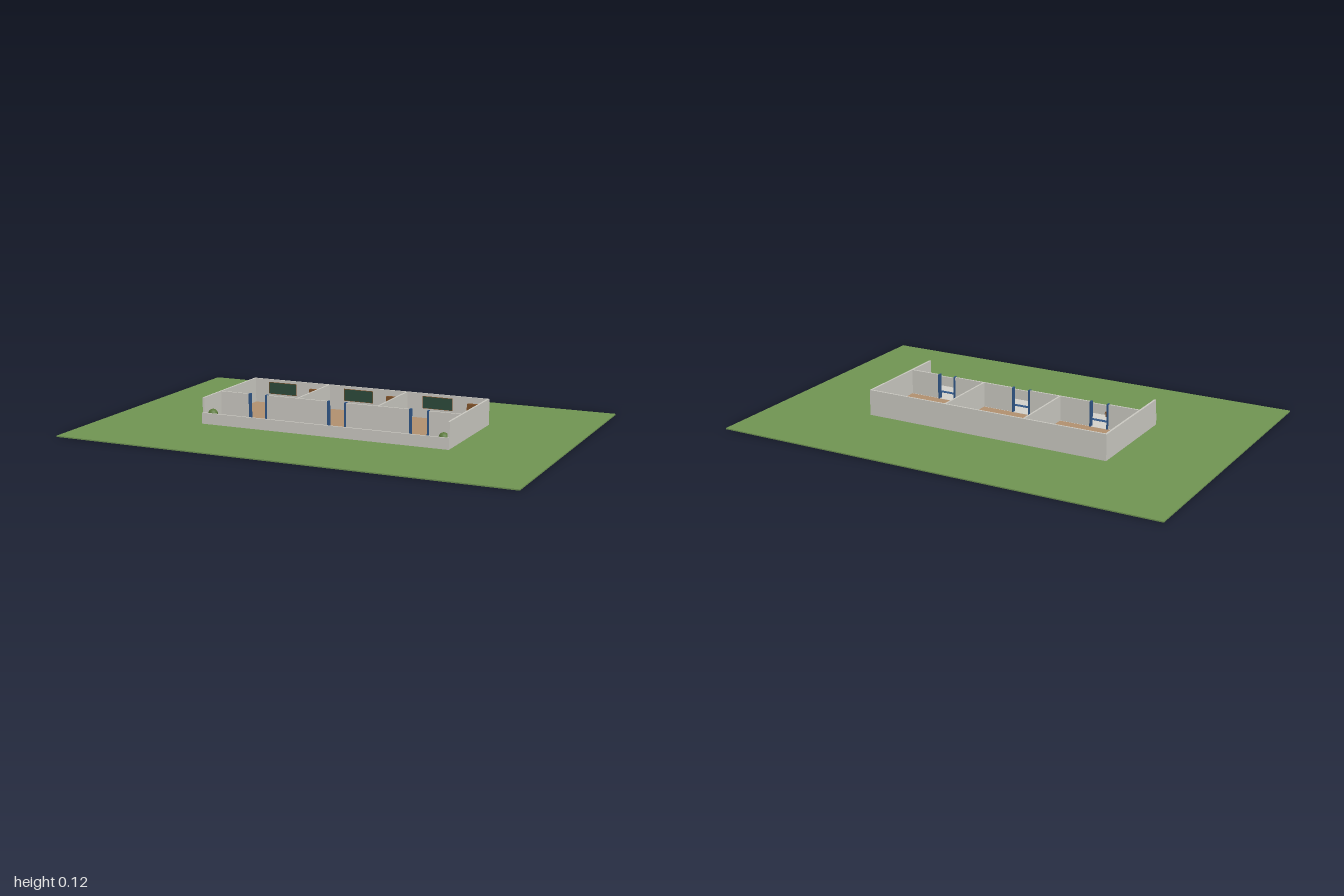
import * as THREE from 'three';

const mat = (name, color) => {
  const m = new THREE.MeshStandardMaterial({ color });
  m.name = name;
  return m;
};

export function createModel() {
  const grass = mat('grass', 0x6f9352);
  const wall = mat('wall plaster', 0xc9c7c0);
  const paving = mat('pale paving', 0xd2d0ca);
  const woodFloor = mat('wood floor', 0xb08f6e);
  const wood = mat('brown wood', 0x80522a);
  const blue = mat('blue paint', 0x2f5585);
  const board = mat('board green', 0x2c4a3a);
  const leaf = mat('leaf green', 0x5c7a3c);

  const model = new THREE.Group();
  model.name = 'schoolBuilding';

  // Box given by its limits on each axis
  const box = (parent, name, material, x0, x1, y0, y1, z0, z1) => {
    const mesh = new THREE.Mesh(new THREE.BoxGeometry(x1 - x0, y1 - y0, z1 - z0), material);
    mesh.position.set((x0 + x1) / 2, (y0 + y1) / 2, (z0 + z1) / 2);
    mesh.name = name;
    parent.add(mesh);
    return mesh;
  };

  const G = 0.005;      // ground level
  const F = 0.009;      // floor level
  const TOP = 0.118;    // wall top
  const PITCH = 0.373;  // room spacing

  // Ground and floors
  box(model, 'lawn', grass, -1, 1, 0, G, -0.682, 0.682);
  box(model, 'classroomFloor', woodFloor, -0.555, 0.555, G, F, -0.24, 0.073);
  box(model, 'corridorFloor', paving, -0.555, 0.555, G, F, 0.073, 0.231);
  box(model, 'corridorStripe', blue, -0.546, 0.546, F, F + 0.001, 0.147, 0.168);

  // Outer walls and room partitions
  box(model, 'backWall', wall, -0.562, 0.562, G, TOP, -0.248, -0.24);
  for (const s of [-1, 1]) {
    const side = box(model, 'sideWall', wall, -0.0045, 0.0045, G, TOP, -0.24, 0.231);
    side.position.x = s * 0.5575;
    const partition = box(model, 'partition', wall, -0.004, 0.004, F, TOP, -0.24, 0.075);
    partition.position.x = s * PITCH / 2;
  }
  box(model, 'frontParapet', wall, -0.562, 0.562, G, 0.053, 0.231, 0.239);

  // Corridor wall between the doorways
  const gaps = [-1, 0, 1].map((i) => i * PITCH);
  const edges = [-0.553, ...gaps.flatMap((x) => [x - 0.038, x + 0.038]), 0.553];
  for (let i = 0; i < edges.length; i += 2) {
    box(model, 'corridorWall', wall, edges[i], edges[i + 1], F, TOP, 0.075, 0.083);
  }

  // Four-legged furniture base
  const legs = (parent, w, d, z, h) => {
    for (const sx of [-1, 1]) for (const sz of [-1, 1]) {
      const x = sx * (w / 2 - 0.003), lz = z + sz * (d / 2 - 0.003);
      box(parent, 'leg', wood, x - 0.002, x + 0.002, F, h, lz - 0.002, lz + 0.002);
    }
  };

  gaps.forEach((x, i) => {
    const room = new THREE.Group();
    room.name = `classroom${i + 1}`;
    room.position.x = x;
    model.add(room);

    // Doorway
    for (const s of [-1, 1]) {
      box(room, 'doorPost', blue, s * 0.0395 - 0.0035, s * 0.0395 + 0.0035, F, 0.12, 0.07, 0.088);
    }
    box(room, 'threshold', paving, -0.036, 0.036, F, F + 0.001, 0.07, 0.084);

    // Board on the back wall
    box(room, 'boardFrame', wood, -0.112, 0.026, 0.052, 0.106, -0.24, -0.238);
    box(room, 'chalkboard', board, -0.11, 0.024, 0.054, 0.104, -0.238, -0.2365);

    // Bookcase
    box(room, 'bookcase', wood, 0.096, 0.17, F, 0.092, -0.24, -0.224);

    // Desk
    box(room, 'deskTop', wood, -0.036, 0.036, 0.039, 0.044, -0.135, -0.102);
    legs(room, 0.07, 0.031, -0.1185, 0.039);

    // Chair
    box(room, 'chairSeat', blue, -0.01, 0.01, 0.026, 0.029, -0.16, -0.138);
    box(room, 'chairBack', blue, -0.01, 0.01, 0.029, 0.052, -0.163, -0.159);
    legs(room, 0.02, 0.02, -0.15, 0.026);

    // Corridor bench
    box(room, 'benchSeat', wood, -0.036, 0.036, 0.026, 0.031, 0.205, 0.225);
    legs(room, 0.068, 0.018, 0.215, 0.026);
  });

  // Potted shrubs at the corridor ends
  for (const s of [-1, 1]) {
    const pot = new THREE.Mesh(new THREE.CylinderGeometry(0.015, 0.011, 0.025, 16), wood);
    pot.name = 'plantPot';
    pot.position.set(s * 0.527, F + 0.0125, 0.204);
    const shrub = new THREE.Mesh(new THREE.SphereGeometry(0.021, 16, 12), leaf);
    shrub.name = 'shrub';
    shrub.position.set(s * 0.527, 0.045, 0.204);
    model.add(pot, shrub);
  }

  return model;
}
